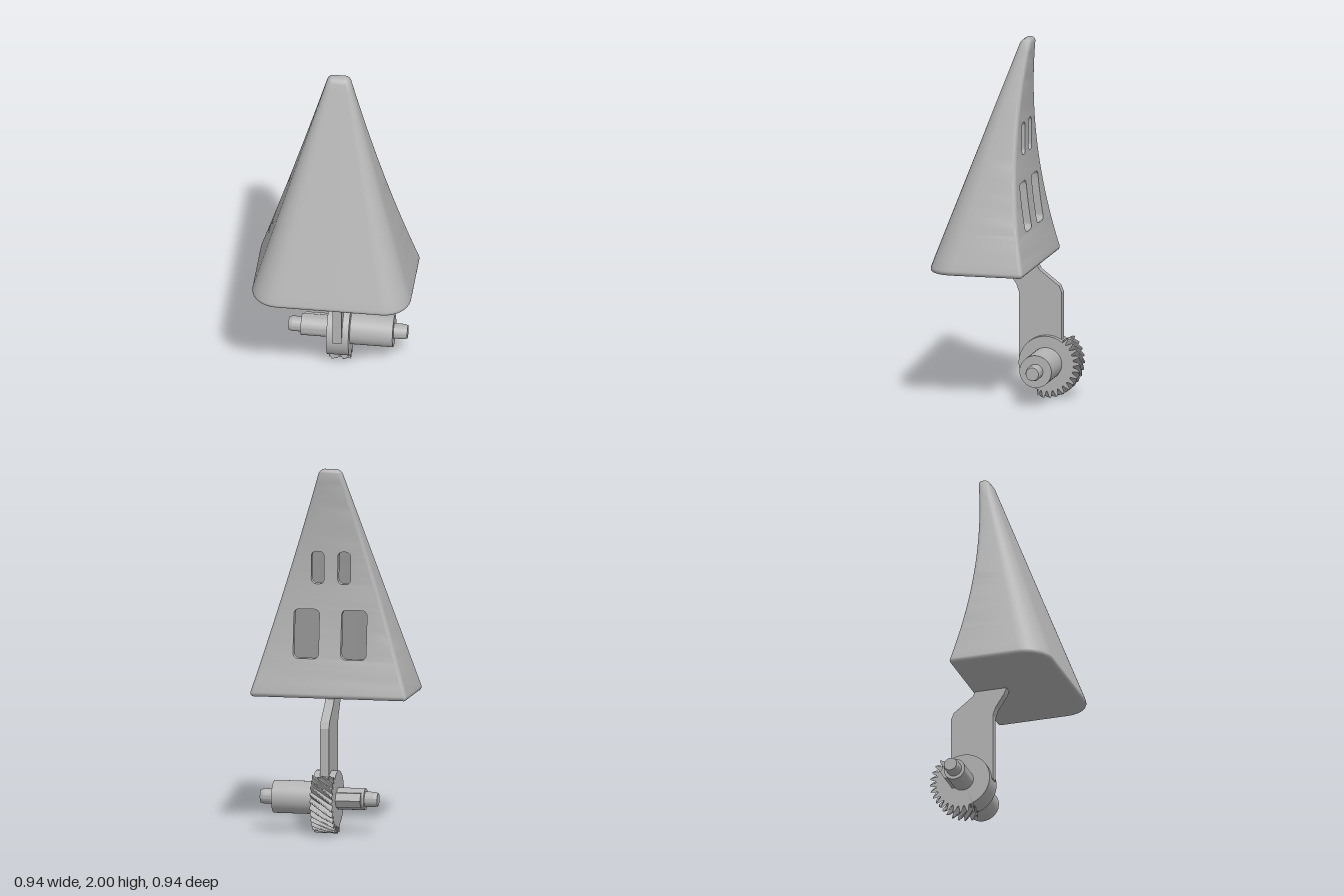
import * as THREE from 'three';
import { toCreasedNormals } from 'three/addons/utils/BufferGeometryUtils.js';

const BOTTOM = 0.735, TOP = 2, WALL = 0.04;

// Window openings in the curved back wall (mirrored in x)
const windows = [
  { cx: 0.133, hw: 0.071, y0: 0.95, y1: 1.22, r: 0.028 },
  { cx: 0.074, hw: 0.036, y0: 1.36, y1: 1.54, r: 0.028 },
];

const param = (y) => (y - 0.765) / 1.235;
const halfWidth = (y) => THREE.MathUtils.lerp(0.435, 0.058, param(y));
const frontZ = (y) => THREE.MathUtils.lerp(0.314, -0.13, param(y));
// concave sweep of the back wall
const backZ = (y) => {
  const t = param(y);
  return -0.23 * (1 - t) ** 2 - 0.18 * t * (1 - t) - 0.19 * t * t;
};

// Rounded four-cornered cross-section, running from the +x back corner round to the -x back corner
function section({ y, inset }) {
  const w = halfWidth(y) - inset, zf = frontZ(y) - inset, zb = backZ(y) + inset, t = param(y);
  const rf = Math.max(0.004, THREE.MathUtils.lerp(0.15, 0.025, t) - inset);
  const rb = Math.max(0.004, 0.022 - inset);
  const pts = [];
  [[1, zb + rb, rb], [1, zf - rf, rf], [-1, zf - rf, rf], [-1, zb + rb, rb]].forEach(([s, cz, r], k) => {
    for (let i = 0; i <= 8; i++) {
      const a = (k - 1 + i / 8) * Math.PI / 2;
      pts.push([s * (w - r) + r * Math.cos(a), y, cz + r * Math.sin(a)]);
    }
  });
  return pts;
}

// Half width of a window at height y
function openingHalf(o, y) {
  const d = Math.min(o.r, Math.max(0, o.y0 + o.r - y, y - (o.y1 - o.r)));
  return o.hw - o.r + Math.sqrt(o.r * o.r - d * d);
}

// Rows for one skin: rounded lower and upper rims, even steps, and rows at the window corners
function makeRows(lo, hi, rim, inset) {
  const rows = [];
  for (let i = 0; i < 6; i++) {
    const a = i / 6 * Math.PI / 2;
    const extra = inset + rim * (1 - Math.sin(a)), rise = rim * (1 - Math.cos(a));
    rows.push({ y: lo + rise, inset: extra }, { y: hi - rise, inset: extra });
  }
  for (let i = 0; i <= 28; i++) rows.push({ y: THREE.MathUtils.lerp(lo + rim, hi - rim, i / 28), inset });
  for (const o of windows) {
    for (let i = 0; i <= 5; i++) {
      const d = o.r * (1 - Math.cos(i / 5 * Math.PI / 2));
      rows.push({ y: o.y0 + d, inset }, { y: o.y1 - d, inset });
    }
  }
  return rows.sort((a, b) => a.y - b.y).filter((r, i, all) => !i || r.y - all[i - 1].y > 1e-6);
}

// One closed skin of the hood, with the windows left open; rims adds the window reveals
function hoodSkin(lo, hi, rim, inset, rims) {
  const pos = [];
  const tri = (...p) => p.forEach((v) => pos.push(...v));
  const quad = (a, b, c, d) => { tri(a, b, c); tri(a, c, d); };
  const rows = makeRows(lo, hi, rim, inset);
  const loops = rows.map(section);
  const last = loops[0].length - 1;

  for (let i = 0; i < rows.length - 1; i++) {
    const A = loops[i], B = loops[i + 1], ya = rows[i].y, yb = rows[i + 1].y;
    for (let j = 0; j < last; j++) quad(A[j], B[j], B[j + 1], A[j + 1]);

    // back wall between the window edges
    const open = windows.find((o) => (ya + yb) / 2 > o.y0 && (ya + yb) / 2 < o.y1);
    const edges = (L, y) => {
      const xs = [L[last][0]];
      if (open) {
        const h = openingHalf(open, y);
        xs.push(-open.cx - h, -open.cx + h, open.cx - h, open.cx + h);
      }
      xs.push(L[0][0]);
      return xs.map((x) => [x, y, L[0][2]]);
    };
    const ea = edges(A, ya), eb = edges(B, yb);
    for (let k = 0; k < ea.length; k += 2) quad(ea[k], eb[k], eb[k + 1], ea[k + 1]);

    if (open && rims) {
      const deep = ([x, y, z]) => [x, y, z + WALL];
      for (let k = 1; k <= 4; k++) {
        if (k % 2) quad(ea[k], eb[k], deep(eb[k]), deep(ea[k]));
        else quad(deep(ea[k]), deep(eb[k]), eb[k], ea[k]);
      }
      for (const k of [1, 3]) {
        if (Math.abs(ya - open.y0) < 1e-6) quad(ea[k], deep(ea[k]), deep(ea[k + 1]), ea[k + 1]);
        if (Math.abs(yb - open.y1) < 1e-6) quad(eb[k], eb[k + 1], deep(eb[k + 1]), deep(eb[k]));
      }
    }
  }

  // floor and tip
  for (const [loop, flip] of [[loops[0], false], [loops[loops.length - 1], true]]) {
    const c = [0, loop[0][1], (loop[0][2] + loop[13][2]) / 2];
    loop.forEach((p, j) => {
      const q = loop[(j + 1) % loop.length];
      flip ? tri(c, q, p) : tri(c, p, q);
    });
  }
  const g = new THREE.BufferGeometry();
  g.setAttribute('position', new THREE.Float32BufferAttribute(pos, 3));
  return toCreasedNormals(g, 0.6);
}

// Wheel with slanted teeth on its back and lower part, smooth elsewhere
function sectorGear() {
  const teeth = 30;
  const g = new THREE.CylinderGeometry(1, 1, 0.122, teeth * 8, 6);
  g.rotateZ(Math.PI / 2);
  const p = g.attributes.position;
  for (let i = 0; i < p.count; i++) {
    const x = p.getX(i), y = p.getY(i), z = p.getZ(i);
    if (Math.hypot(y, z) < 0.5) continue;
    const base = Math.atan2(y, -z), turned = base + 4 * x;
    const phase = THREE.MathUtils.euclideanModulo(base * teeth / (2 * Math.PI), 1);
    const rise = THREE.MathUtils.clamp(3.2 * Math.abs(phase - 0.5) - 0.3, 0, 1);
    const toothed = turned > -1.85 && turned < 0.88;
    const r = 0.153 + (toothed ? 0.039 * rise : 0);
    p.setXYZ(i, x, r * Math.sin(turned), -r * Math.cos(turned));
  }
  return toCreasedNormals(g, 0.5);
}

export function createModel() {
  const grey = new THREE.MeshStandardMaterial({ color: 0xb3b3b3, side: THREE.DoubleSide });
  grey.name = 'plainGrey';
  const model = new THREE.Group();
  model.name = 'model';
  const body = new THREE.Group();
  body.name = 'turnedAssembly';
  body.rotation.y = 0.742;
  model.add(body);

  const add = (name, geometry, x = 0, y = 0, z = 0) => {
    const mesh = new THREE.Mesh(geometry, grey);
    mesh.name = name;
    mesh.position.set(x, y, z);
    body.add(mesh);
    return mesh;
  };

  // Hollow hood
  add('hoodOuter', hoodSkin(BOTTOM, TOP, 0.028, 0, true));
  add('hoodInner', hoodSkin(BOTTOM + WALL, 1.8, 0.005, WALL, false));

  // Cranked arm joining the hood to the hub, drawn as (z, y)
  const outline = [[-0.35, 0.2], [-0.35, 0.59], [-0.335, 0.625], [-0.225, 0.71], [-0.21, 0.74], [-0.15, 0.8],
    [-0.12, 1.1], [-0.04, 1.16], [-0.03, 0.74], [-0.045, 0.7], [-0.095, 0.625], [-0.11, 0.58], [-0.11, 0.2]];
  const arm = new THREE.ExtrudeGeometry(
    new THREE.Shape(outline.map(([z, y]) => new THREE.Vector2(z, y))), { depth: 0.05, bevelEnabled: false });
  arm.rotateY(-Math.PI / 2);
  add('arm', arm, 0.019);

  // Hub and stepped axle along x
  const axleY = 0.195, axleZ = -0.27;
  add('sectorGear', sectorGear(), -0.006, axleY, axleZ);
  const rod = (name, x0, x1, r, z = axleZ, sides = 40, rEnd = r) => {
    const g = new THREE.CylinderGeometry(rEnd, r, x1 - x0, sides);
    g.rotateZ(-Math.PI / 2);
    add(name, toCreasedNormals(g, 0.5), (x0 + x1) / 2, axleY, z);
  };
  rod('axleCore', -0.27, 0.345, 0.042);
  rod('axleTipRight', -0.29, -0.27, 0.036, axleZ, 40, 0.042);
  rod('axleTipLeft', 0.345, 0.365, 0.042, axleZ, 40, 0.036);
  rod('largeSleeve', 0.05, 0.29, 0.09);
  rod('smallSleeve', -0.22, -0.04, 0.06);
  rod('sideKey', -0.205, -0.02, 0.046, -0.31, 6);

  return model;
}
